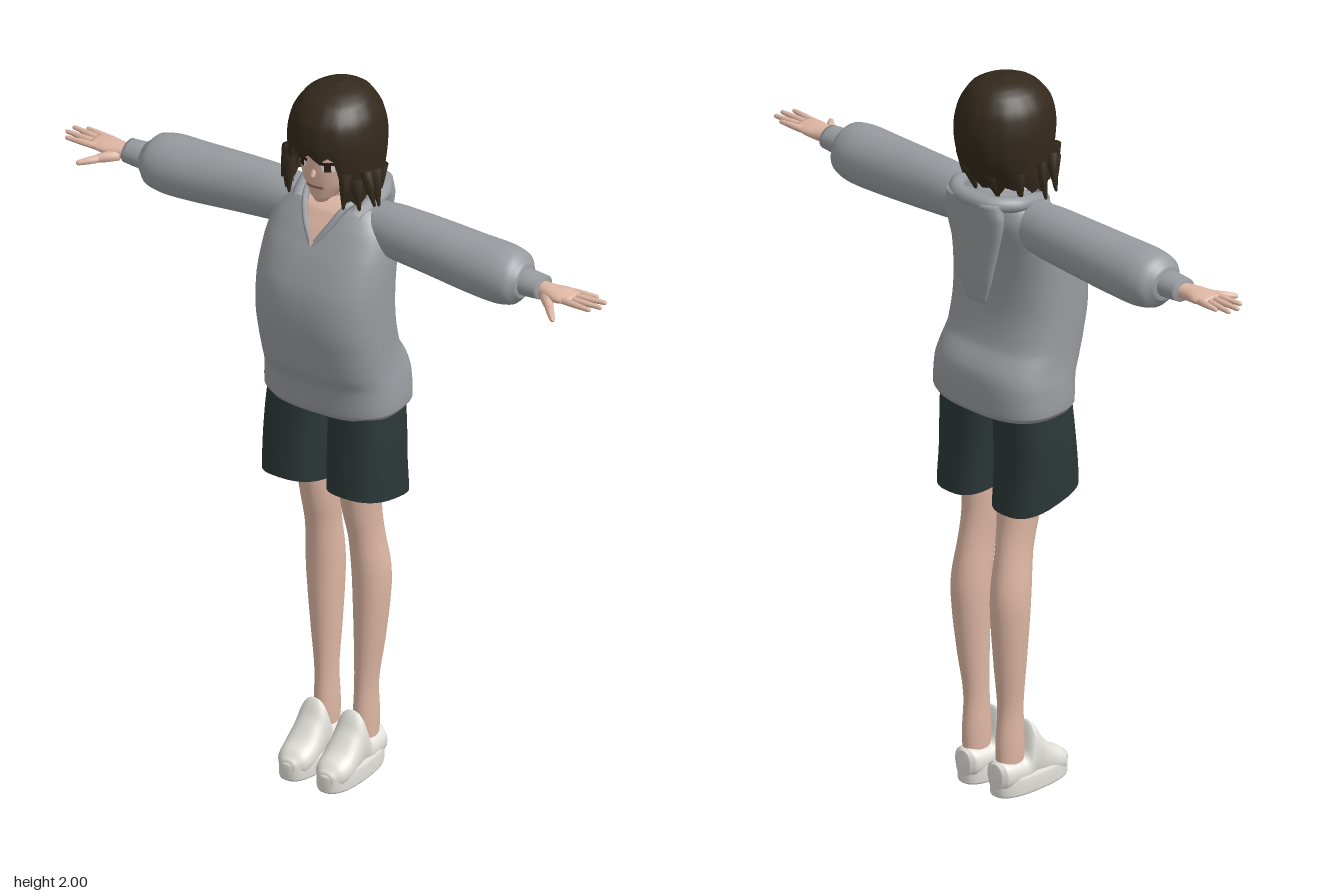
import * as THREE from 'three';
import { mergeGeometries } from 'three/addons/utils/BufferGeometryUtils.js';

const material = (name, color, double) => {
  const m = new THREE.MeshStandardMaterial({ color });
  m.name = name;
  if (double) m.side = THREE.DoubleSide;
  return m;
};

// Smoothly interpolate rows [t, centre1, radius1, centre2, radius2] at t
function sample(rows, t) {
  let i = 0;
  while (i < rows.length - 2 && t > rows[i + 1][0]) i++;
  const at = k => rows[Math.min(Math.max(k, 0), rows.length - 1)];
  const [a, b, c, d] = [at(i - 1), at(i), at(i + 1), at(i + 2)];
  const f = THREE.MathUtils.clamp((t - b[0]) / (c[0] - b[0]), 0, 1);
  return b.map((v, k) => k === 0 ? t : v + 0.5 * f * (c[k] - a[k]
    + f * (2 * a[k] - 5 * v + 4 * c[k] - d[k] + f * (3 * (v - c[k]) + d[k] - a[k]))));
}

const pow = (v, e) => Math.sign(v) * Math.abs(v) ** e;

// Which coordinates (t, c1, c2) go to x, y, z for each lofting axis
const axes = {
  y: (t, a, b) => [a, t, b],
  x: (t, a, b) => [t, b, a],
  z: (t, a, b) => [b, a, t],
};

// Skin a tube of superellipse rings through the rows, t increasing
function loft(rows, { axis = 'y', e = 1, n = 32, sub = 4, caps = true } = {}) {
  const pos = [], index = [], ts = [];
  rows.forEach((r, i) => {
    if (i) for (let k = 1; k <= sub; k++) ts.push(THREE.MathUtils.lerp(rows[i - 1][0], r[0], k / sub));
    else ts.push(r[0]);
  });
  ts.forEach((t, i) => {
    const [, c1, r1, c2, r2] = sample(rows, t);
    for (let j = 0; j < n; j++) {
      const q = j / n * Math.PI * 2;
      pos.push(...axes[axis](t, c1 + r1 * pow(Math.cos(q), e), c2 + r2 * pow(Math.sin(q), e)));
      if (i) {
        const a = (i - 1) * n + j, b = (i - 1) * n + (j + 1) % n;
        index.push(a, a + n, b, b, a + n, b + n);
      }
    }
  });
  if (caps) [0, ts.length - 1].forEach(i => {
    const [t, c1, , c2] = sample(rows, ts[i]);
    const mid = pos.length / 3;
    pos.push(...axes[axis](t, c1, c2));
    for (let j = 0; j < n; j++) {
      const a = i * n + j, b = i * n + (j + 1) % n;
      index.push(mid, i ? b : a, i ? a : b);
    }
  });
  return build(pos, index);
}

function build(pos, index) {
  const g = new THREE.BufferGeometry();
  g.setAttribute('position', new THREE.Float32BufferAttribute(pos, 3));
  g.setIndex(index);
  g.computeVertexNormals();
  return g;
}

// Thin panel lying on the front of a lofted form
function patch(rows, e, y0, y1, left, right, off = 0.004, n = 10) {
  const pos = [], index = [];
  for (let i = 0; i <= n; i++) for (let j = 0; j <= n; j++) {
    const f = i / n, y = y0 + (y1 - y0) * f;
    const x = THREE.MathUtils.lerp(left(f), right(f), j / n);
    const [, cx, rx, cz, rz] = sample(rows, y);
    const k = Math.max(0, 1 - Math.abs((x - cx) / rx) ** (2 / e)) ** (e / 2);
    pos.push(x, y, cz + rz * k + off);
    if (i && j) {
      const d = i * (n + 1) + j, b = d - n - 1;
      index.push(b - 1, b, d - 1, b, d, d - 1);
    }
  }
  return build(pos, index);
}

// Tapered rod with a round tip
function rod(from, to, r0, r1) {
  const a = new THREE.Vector3(...from), d = new THREE.Vector3(...to).sub(a), l = d.length();
  const profile = [[0, 0], [r0, 0], [(r0 + r1) / 2 * 1.05, l * 0.5], [r1, l - r1], [r1 * 0.7, l - r1 * 0.3], [0, l]];
  const g = new THREE.LatheGeometry(profile.map(p => new THREE.Vector2(...p)), 10);
  g.applyQuaternion(new THREE.Quaternion().setFromUnitVectors(new THREE.Vector3(0, 1, 0), d.normalize()));
  return g.translate(a.x, a.y, a.z);
}

function mirror(g) {
  const m = g.clone().scale(-1, 1, 1), ix = m.index.array;
  for (let i = 0; i < ix.length; i += 3) [ix[i], ix[i + 1]] = [ix[i + 1], ix[i]];
  m.computeVertexNormals();
  return m;
}

const TORSO = [[1.09, 0, 0.185, -0.022, 0.125], [1.105, 0, 0.195, -0.022, 0.132], [1.18, 0, 0.19, -0.018, 0.138],
  [1.22, 0, 0.184, -0.003, 0.143], [1.27, 0, 0.181, 0.02, 0.133], [1.36, 0, 0.181, 0.038, 0.132], [1.46, 0, 0.181, 0.035, 0.127],
  [1.55, 0, 0.178, 0.012, 0.112], [1.62, 0, 0.165, -0.015, 0.096], [1.67, 0, 0.125, -0.03, 0.075], [1.69, 0, 0.07, -0.04, 0.045]];
const HEAD = [[1.695, 0, 0.018, 0.055, 0.02], [1.71, 0, 0.035, 0.04, 0.042], [1.75, 0, 0.065, 0.02, 0.069], [1.8, 0, 0.083, 0.005, 0.089],
  [1.88, 0, 0.095, -0.01, 0.1], [1.94, 0, 0.075, -0.015, 0.08], [1.975, 0, 0.03, -0.02, 0.03]];
const HAIR = [[1.69, 0, 0.118, -0.005, 0.09], [1.74, 0, 0.124, -0.012, 0.105], [1.8, 0, 0.126, -0.018, 0.128], [1.87, 0, 0.125, -0.018, 0.137],
  [1.93, 0, 0.112, -0.018, 0.124], [1.97, 0, 0.085, -0.022, 0.094], [1.99, 0, 0.05, -0.028, 0.055], [2.0, 0, 0.002, -0.03, 0.002]];

// Bobbed hair: ragged hem, short over the face
function hairShell() {
  const n = 120, rows = 24, pos = [], index = [];
  for (let i = 0; i <= rows; i++) for (let j = 0; j < n; j++) {
    const q = j / n * Math.PI * 2, away = Math.abs(Math.atan2(Math.sin(q), Math.cos(q)));
    const jag = Math.abs((j % 8) - 4) / 4;
    const drop = THREE.MathUtils.smoothstep(away, 0.52, 0.72);
    const hem = THREE.MathUtils.lerp(1.832, 1.695 + 0.012 * (1 + Math.sin(q * 5)), drop) + 0.018 * jag;
    const y = hem + (2 - hem) * (1 - (i / rows) ** 2);
    const [, , rx, cz, rz] = sample(HAIR, y);
    const k = 1 + 0.015 * (0.5 - jag) * (i / rows);
    pos.push(rx * k * Math.sin(q), y, cz + rz * k * Math.cos(q));
    if (i) {
      const a = (i - 1) * n + j, b = (i - 1) * n + (j + 1) % n;
      index.push(a, a + n, b, b, a + n, b + n);
    }
  }
  return build(pos, index);
}

export function createModel() {
  const model = new THREE.Group();
  const skin = material('skin', 0xdfb7a4, true), hair = material('dark brown hair', 0x33291c, true);
  const knit = material('grey knit', 0x989b9f, true), cloth = material('dark shorts cloth', 0x2c3737, true);
  const shoe = material('off-white shoe', 0xe2e1da), dark = material('lash', 0x2a1c18, true);
  const white = material('eye white', 0xe8dfd8, true), lip = material('lip', 0x9a6a60, true);
  const add = (name, g, m) => {
    const mesh = new THREE.Mesh(g, m);
    mesh.name = name;
    model.add(mesh);
  };
  const pair = (name, g, m) => {
    add('left' + name, g, m);
    add('right' + name, mirror(g), m);
  };

  // Head and face
  add('head', loft(HEAD), skin);
  add('neck', loft([[1.6, 0, 0.055, -0.03, 0.045], [1.67, 0, 0.04, -0.025, 0.04], [1.75, 0, 0.04, -0.015, 0.042]]), skin);
  add('nose', rod([0, 1.805, 0.082], [0, 1.775, 0.102], 0.006, 0.007), skin);
  add('mouth', patch(HEAD, 1, 1.742, 1.75, () => -0.025, () => 0.025, 0.003), lip);
  pair('EyeWhite', patch(HEAD, 1, 1.798, 1.82, f => 0.026 - 0.006 * f, f => 0.052 + 0.006 * f, 0.002), white);
  pair('Iris', patch(HEAD, 1, 1.798, 1.82, () => 0.031, () => 0.047, 0.004), dark);
  pair('Lash', patch(HEAD, 1, 1.818, 1.827, () => 0.018, () => 0.062, 0.005), dark);

  // Hair with loose side and nape locks
  add('hair', hairShell(), hair);
  const locks = [[0.118, 1.8, 0.03, 0.142, 1.7, 0.025], [0.12, 1.79, -0.01, 0.135, 1.685, -0.005], [0.085, 1.8, 0.075, 0.083, 1.7, 0.082],
    [0.105, 1.78, 0.055, 0.112, 1.69, 0.05], [0.1, 1.77, -0.07, 0.1, 1.685, -0.06], [0.04, 1.76, -0.11, 0.04, 1.68, -0.08]]
    .map(p => rod(p.slice(0, 3), p.slice(3), 0.018, 0.004));
  pair('HairLocks', mergeGeometries(locks), hair);

  // Sweatshirt body, open neck and hood
  add('sweatshirt', loft(TORSO, { e: 0.75, n: 56 }), knit);
  add('neckOpening', patch(TORSO, 0.75, 1.578, 1.69, f => -0.062 * f, f => 0.062 * f), skin);
  const vec = p => new THREE.Vector3(...p);
  const trim = new THREE.CatmullRomCurve3([[0, 1.577, 0.1], [0.035, 1.63, 0.075], [0.06, 1.675, 0.04], [0.08, 1.69, -0.01]].map(vec));
  pair('NeckTrim', new THREE.TubeGeometry(trim, 20, 0.009, 8), knit);
  const rim = [[0.085, 1.655, 0.035], [0.1, 1.675, -0.02], [0.1, 1.685, -0.08], [0.06, 1.69, -0.13], [0, 1.69, -0.143]];
  const rimCurve = new THREE.CatmullRomCurve3([...rim, ...rim.slice(0, 4).reverse().map(p => [-p[0], p[1], p[2]])].map(vec));
  add('hoodRim', new THREE.TubeGeometry(rimCurve, 48, 0.021, 10), knit);
  add('hoodBack', loft([[1.395, 0, 0.035, -0.123, 0.006], [1.46, 0, 0.055, -0.125, 0.015], [1.56, 0, 0.08, -0.125, 0.022],
    [1.65, 0, 0.1, -0.128, 0.028], [1.695, 0, 0.09, -0.13, 0.03]], { e: 0.8 }), knit);

  // Sleeves, gathered into cuffs
  pair('Sleeve', loft([[0.1, -0.03, 0.06, 1.615, 0.065], [0.18, -0.028, 0.068, 1.613, 0.073], [0.3, -0.026, 0.073, 1.608, 0.077],
    [0.42, -0.022, 0.079, 1.602, 0.079], [0.51, -0.02, 0.081, 1.6, 0.079], [0.555, -0.018, 0.072, 1.6, 0.069],
    [0.58, -0.014, 0.046, 1.601, 0.043]], { axis: 'x' }), knit);
  pair('Cuff', loft([[0.57, -0.013, 0.04, 1.602, 0.035], [0.6, -0.012, 0.039, 1.602, 0.034], [0.636, -0.012, 0.037, 1.602, 0.031]], { axis: 'x' }), knit);

  // Hands with splayed fingers
  const palm = loft([[0.62, -0.012, 0.022, 1.6, 0.02], [0.66, -0.006, 0.028, 1.6, 0.021], [0.7, -0.006, 0.038, 1.603, 0.016],
    [0.735, -0.006, 0.034, 1.605, 0.009]], { axis: 'x', n: 20 });
  const fingers = [[-0.034, -0.042, 0.785], [-0.016, -0.028, 0.818], [0.003, 0, 0.822], [0.02, 0.027, 0.805]]
    .map(([z0, z1, x]) => rod([0.715, 1.604, z0], [x, 1.606, z1], 0.0095, 0.006));
  const thumb = [rod([0.655, 1.593, 0.008], [0.7, 1.587, 0.055], 0.016, 0.011), rod([0.692, 1.588, 0.048], [0.731, 1.582, 0.09], 0.011, 0.007)];
  pair('Hand', mergeGeometries([palm, ...fingers, ...thumb].map(g => g.deleteAttribute('uv'))), skin);

  // Shorts with hems sloping down to the back
  const leg = loft([[0.842, 0.099, 0.088, -0.008, 0.115], [0.93, 0.098, 0.09, -0.006, 0.107], [1.03, 0.096, 0.09, -0.01, 0.102],
    [1.13, 0.092, 0.086, -0.014, 0.1]], { e: 0.75, caps: false });
  const p = leg.attributes.position;
  for (let i = 0; i < p.count; i++) {
    const w = 1 - THREE.MathUtils.smoothstep(p.getY(i), 0.84, 1.03);
    p.setY(i, p.getY(i) + 0.22 * w * (p.getZ(i) + 0.01));
  }
  leg.computeVertexNormals();
  pair('ShortsLeg', leg, cloth);
  add('shortsSeat', loft([[1.06, 0, 0.1, -0.014, 0.075], [1.14, 0, 0.17, -0.014, 0.095]], { e: 0.8 }), cloth);

  // Legs
  pair('Leg', loft([[0.06, 0.06, 0.028, -0.06, 0.042], [0.14, 0.06, 0.03, -0.06, 0.044], [0.24, 0.061, 0.029, -0.06, 0.038],
    [0.36, 0.066, 0.038, -0.066, 0.046], [0.5, 0.07, 0.047, -0.07, 0.055], [0.58, 0.07, 0.048, -0.067, 0.058],
    [0.68, 0.066, 0.043, -0.052, 0.056], [0.76, 0.063, 0.046, -0.036, 0.061], [0.86, 0.065, 0.052, -0.025, 0.073],
    [1.06, 0.08, 0.065, -0.015, 0.08]]), skin);

  // Slip-on shoes with a high tongue
  pair('Sole', loft([[0, 0.058, 0.05, 0.01, 0.122], [0.006, 0.058, 0.052, 0.01, 0.124], [0.042, 0.058, 0.052, 0.01, 0.124],
    [0.05, 0.058, 0.049, 0.01, 0.121]], { e: 0.8, sub: 2 }), shoe);
  pair('ShoeUpper', loft([[-0.114, 0.055, 0.035, 0.058, 0.024], [-0.1, 0.057, 0.04, 0.058, 0.04], [-0.06, 0.056, 0.04, 0.058, 0.044],
    [-0.025, 0.058, 0.044, 0.058, 0.046], [-0.006, 0.09, 0.08, 0.058, 0.045], [0.005, 0.095, 0.084, 0.058, 0.045],
    [0.03, 0.075, 0.065, 0.058, 0.047], [0.07, 0.053, 0.043, 0.058, 0.049], [0.105, 0.042, 0.034, 0.058, 0.043],
    [0.13, 0.038, 0.018, 0.058, 0.022]], { axis: 'z', e: 0.9, n: 28 }), shoe);

  return model;
}
